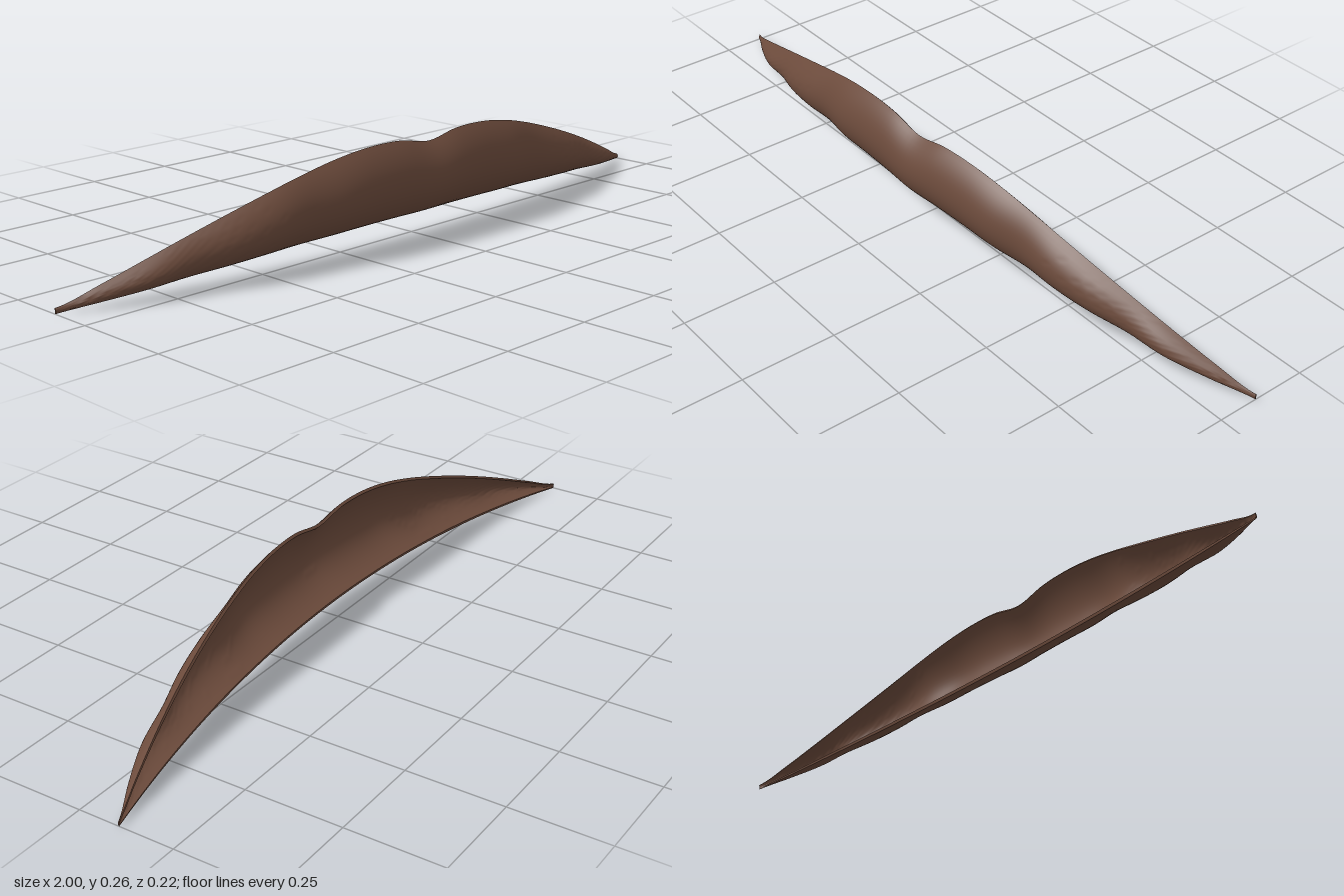
import * as THREE from 'three';
import { toCreasedNormals } from 'three/addons/utils/BufferGeometryUtils.js';

// Smooth mirrored curve through values at |x| = 0, 0.1 ... 1
function mirrored(values) {
  const keys = [values[1], ...values];
  const curve = new THREE.SplineCurve(keys.map((v, i) => new THREE.Vector2(i, v)));
  return x => curve.getPoint((Math.abs(x) + 0.1) / 1.1).y;
}

const topHeight = mirrored([0.246, 0.262, 0.262, 0.249, 0.226, 0.197, 0.165, 0.13, 0.092, 0.052, 0.014]);
const bulge = mirrored([0.077, 0.075, 0.074, 0.074, 0.063, 0.068, 0.064, 0.05, 0.048, 0.028, 0.003]);

// Closed cross-section at x: outer skin from top to bottom, then inner skin back up
function section(x, steps) {
  const q = x * x;
  const top = new THREE.Vector2(0.06 - 0.168 * q, topHeight(x));
  const bottom = new THREE.Vector2(-0.108 * q, 0.051 * (1 - q));
  const s = bulge(x) / 0.077;
  const control = (along, down, out) => new THREE.Vector2(
    THREE.MathUtils.lerp(top.x, bottom.x, along) + out * s,
    THREE.MathUtils.lerp(top.y, bottom.y, down));
  const profile = new THREE.CubicBezierCurve(
    top, control(0.3, 0.3, 0.088), control(0.7, 0.85, 0.122), bottom);
  const thickness = 0.008 - 0.005 * q * q;
  const outer = [], inner = [];
  for (let j = 0; j <= steps; j++) {
    const p = profile.getPoint(j / steps);
    const t = profile.getTangent(j / steps);
    outer.push(p);
    inner.unshift(new THREE.Vector2(p.x + t.y * thickness, p.y - t.x * thickness));
  }
  return [...outer, ...inner];
}

// Curved shell swept from one tip to the other
function shellGeometry(columns = 120, steps = 20) {
  const positions = [], index = [];
  const ring = 2 * (steps + 1);
  for (let i = 0; i <= columns; i++) {
    const x = -1 + 2 * i / columns;
    for (const p of section(x, steps)) positions.push(x, Math.max(p.y, 0), p.x);
  }
  for (let i = 0; i < columns; i++) {
    for (let j = 0; j < ring; j++) {
      const a = i * ring + j, b = i * ring + (j + 1) % ring;
      index.push(a, b, a + ring, b, b + ring, a + ring);
    }
  }
  // Blunt tips
  const end = columns * ring;
  for (let k = 0; k < steps; k++) {
    const m = ring - 1 - k;
    index.push(end + k, end + k + 1, end + m - 1, end + k, end + m - 1, end + m);
    index.push(k, m - 1, k + 1, k, m, m - 1);
  }
  const geometry = new THREE.BufferGeometry();
  geometry.setAttribute('position', new THREE.Float32BufferAttribute(positions, 3));
  geometry.setIndex(index);
  return toCreasedNormals(geometry, Math.PI / 4);
}

export function createModel() {
  const group = new THREE.Group();
  group.name = 'curvedShell';
  const material = new THREE.MeshStandardMaterial({ color: 0x6b4a3b, side: THREE.DoubleSide });
  const shell = new THREE.Mesh(shellGeometry(), material);
  shell.name = 'shell';
  group.add(shell);
  return group;
}
